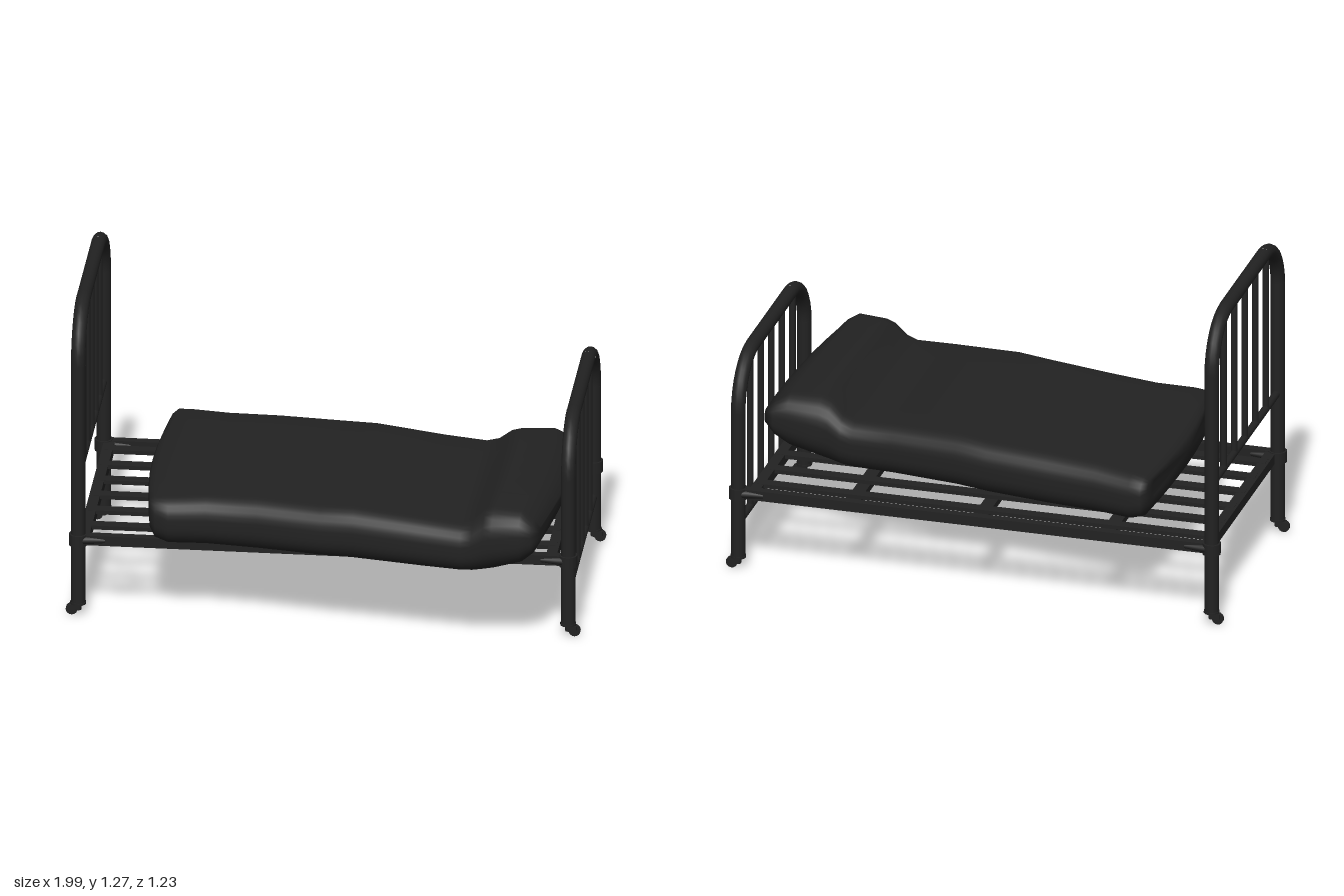
import * as THREE from 'three';

const black = new THREE.MeshStandardMaterial({ color: 0x222222 });
black.name = 'black';

const MID = -0.122, HALF = 0.457;      // frame centre and half width in z
const HEAD_X = -0.953, FOOT_X = 0.945; // bed ends

function add(parent, name, geo, x = 0, y = 0, z = 0) {
  const m = new THREE.Mesh(geo, black);
  m.name = name;
  m.position.set(x, y, z);
  parent.add(m);
  return m;
}

const rod = (r, len, sides = 12) => new THREE.CylinderGeometry(r, r, len, sides);

// Arched end of the bed, drawn in x/y and then turned to face along the bed
function bedEnd(name, x, top, railY) {
  const g = new THREE.Group();
  g.name = name;
  const r = 0.028, R = 0.2, spring = top - R, base = 0.05;
  for (const s of [-1, 1]) {
    add(g, 'post', rod(r, spring - base, 14), s * HALF, (spring + base) / 2);
    add(g, 'postFoot', rod(0.031, 0.008, 14), s * HALF, base);
    const bend = new THREE.TorusGeometry(R, r, 14, 8, Math.PI / 2);
    if (s < 0) bend.rotateZ(Math.PI / 2);
    add(g, 'cornerBend', bend, s * (HALF - R), spring);
  }
  add(g, 'topRail', rod(r, 2 * (HALF - R), 14).rotateZ(Math.PI / 2), 0, top);
  add(g, 'lowerRail', rod(0.015, 2 * HALF).rotateZ(Math.PI / 2), 0, railY);
  for (let i = -2; i <= 2; i++)
    add(g, 'spindle', rod(0.0135, top - railY), i * 0.146, (top + railY) / 2);
  g.rotation.y = -Math.PI / 2;
  g.position.set(x, 0, MID);
  return g;
}

// Small wheel set outwards under a post
function caster(x, z, out) {
  const g = new THREE.Group();
  g.name = 'caster';
  add(g, 'casterStem', rod(0.012, 0.04), 0, 0.04);
  add(g, 'casterFork', new THREE.BoxGeometry(0.04, 0.018, 0.027), out * 0.014, 0.034);
  add(g, 'casterWheel', rod(0.023, 0.014, 16).rotateX(Math.PI / 2), out * 0.025, 0.023);
  g.position.set(x, 0, z);
  return g;
}

// Collar and tapered socket joining a side rail to a post
function joint(x, z, inward) {
  const g = new THREE.Group();
  g.name = 'cornerJoint';
  add(g, 'collar', rod(0.036, 0.046), 0, 0.316);
  const socket = new THREE.CylinderGeometry(0.02, 0.034, 0.11, 12);
  socket.rotateZ(-inward * Math.PI / 2).scale(1, 0.65, 1);
  add(g, 'socket', socket, inward * 0.05, 0.317);
  g.position.set(x, 0, z);
  return g;
}

// Rounded cross-section of the mattress as [z, y, u], u running -1..1 across
function mattressRing(z0, z1, y0, y1) {
  const r = (y1 - y0) * 0.4, n = 6, flat = 6, pts = [];
  const corners = [[z1 - r, y1 - r], [z0 + r, y1 - r], [z0 + r, y0 + r], [z1 - r, y0 + r]];
  corners.forEach(([cz, cy], k) => {
    for (let i = 0; i <= n; i++) {
      const a = (k + i / n) * Math.PI / 2;
      pts.push([cz + r * Math.cos(a), cy + r * Math.sin(a)]);
    }
    if (k % 2 === 0) { // points along the flat top and bottom
      const [ez] = corners[k + 1], y = k === 0 ? y1 : y0;
      for (let i = 1; i < flat; i++) pts.push([cz + (ez - cz) * i / flat, y]);
    }
  });
  return pts.map(([z, y]) => [z, y, (2 * z - z0 - z1) / (z1 - z0)]);
}

function mattressGeometry() {
  // x, back z, front z, bottom y, top y
  const stations = [
    [-0.705, -0.44, 0.38, 0.44, 0.50],
    [-0.695, -0.48, 0.42, 0.40, 0.518],
    [-0.67, -0.515, 0.445, 0.365, 0.53],
    [-0.61, -0.512, 0.455, 0.345, 0.535],
    [-0.45, -0.48, 0.445, 0.342, 0.542],
    [-0.25, -0.46, 0.47, 0.342, 0.55],
    [0, -0.43, 0.52, 0.347, 0.553],
    [0.13, -0.405, 0.54, 0.35, 0.56],
    [0.4, -0.355, 0.575, 0.345, 0.545],
    [0.56, -0.338, 0.592, 0.343, 0.535],
    [0.61, -0.332, 0.598, 0.345, 0.552],
    [0.66, -0.325, 0.606, 0.35, 0.597],
    [0.7, -0.322, 0.61, 0.358, 0.61],
    [0.82, -0.32, 0.615, 0.395, 0.61],
    [0.875, -0.315, 0.605, 0.44, 0.575],
    [0.91, -0.30, 0.57, 0.49, 0.545],
  ];
  const pos = [], idx = [];
  let n = 0;
  for (const [x, z0, z1, y0, y1] of stations) {
    const ring = mattressRing(z0, z1, y0, y1);
    n = ring.length;
    const left = Math.max(0, (-x - 0.5) / 0.2), right = Math.max(0, (x - 0.5) / 0.4);
    for (const [z, y, u] of ring)
      pos.push(x + left * 0.03 * u * u - right * (0.03 * u + 0.02 * u * u), y, z);
  }
  const rows = stations.length;
  for (let i = 0; i < rows - 1; i++)
    for (let j = 0; j < n; j++) {
      const a = i * n + j, b = i * n + (j + 1) % n, c = a + n, d = b + n;
      idx.push(a, c, b, b, c, d);
    }
  // end caps
  for (const [row, first] of [[0, true], [rows - 1, false]]) {
    const [x, z0, z1, y0, y1] = stations[row];
    const centre = pos.length / 3;
    pos.push(x, (y0 + y1) / 2, (z0 + z1) / 2);
    for (let j = 0; j < n; j++) {
      const a = row * n + j, b = row * n + (j + 1) % n;
      idx.push(centre, first ? a : b, first ? b : a);
    }
  }
  const g = new THREE.BufferGeometry();
  g.setAttribute('position', new THREE.Float32BufferAttribute(pos, 3));
  g.setIndex(idx);
  g.computeVertexNormals();
  return g;
}

export function createModel() {
  const bed = new THREE.Group();
  bed.name = 'bed';

  bed.add(bedEnd('headboard', HEAD_X, 1.247, 0.585));
  bed.add(bedEnd('footboard', FOOT_X, 0.855, 0.19));

  // Side rails, joints and casters
  const length = FOOT_X - HEAD_X, midX = (FOOT_X + HEAD_X) / 2;
  for (const s of [-1, 1]) {
    const z = MID + s * HALF;
    add(bed, 'sideRail', new THREE.BoxGeometry(length, 0.04, 0.034), midX, 0.318, z);
    for (const [x, out] of [[HEAD_X, -1], [FOOT_X, 1]]) {
      bed.add(joint(x, z, -out));
      bed.add(caster(x, z, out));
    }
  }

  // End beams and cross beams under the slats
  for (const x of [-0.93, 0.88])
    add(bed, 'endBeam', new THREE.BoxGeometry(0.042, 0.04, 2 * HALF), x, 0.316, MID);
  for (const x of [-0.525, -0.01, 0.502])
    add(bed, 'crossBeam', new THREE.BoxGeometry(0.052, 0.025, 2 * HALF), x, 0.305, MID);

  // Lengthwise slats
  for (let i = 0; i < 6; i++)
    add(bed, 'slat', new THREE.BoxGeometry(1.83, 0.016, 0.046), -0.025, 0.329, -0.5 + i * 0.1455);

  add(bed, 'mattress', mattressGeometry());
  return bed;
}
